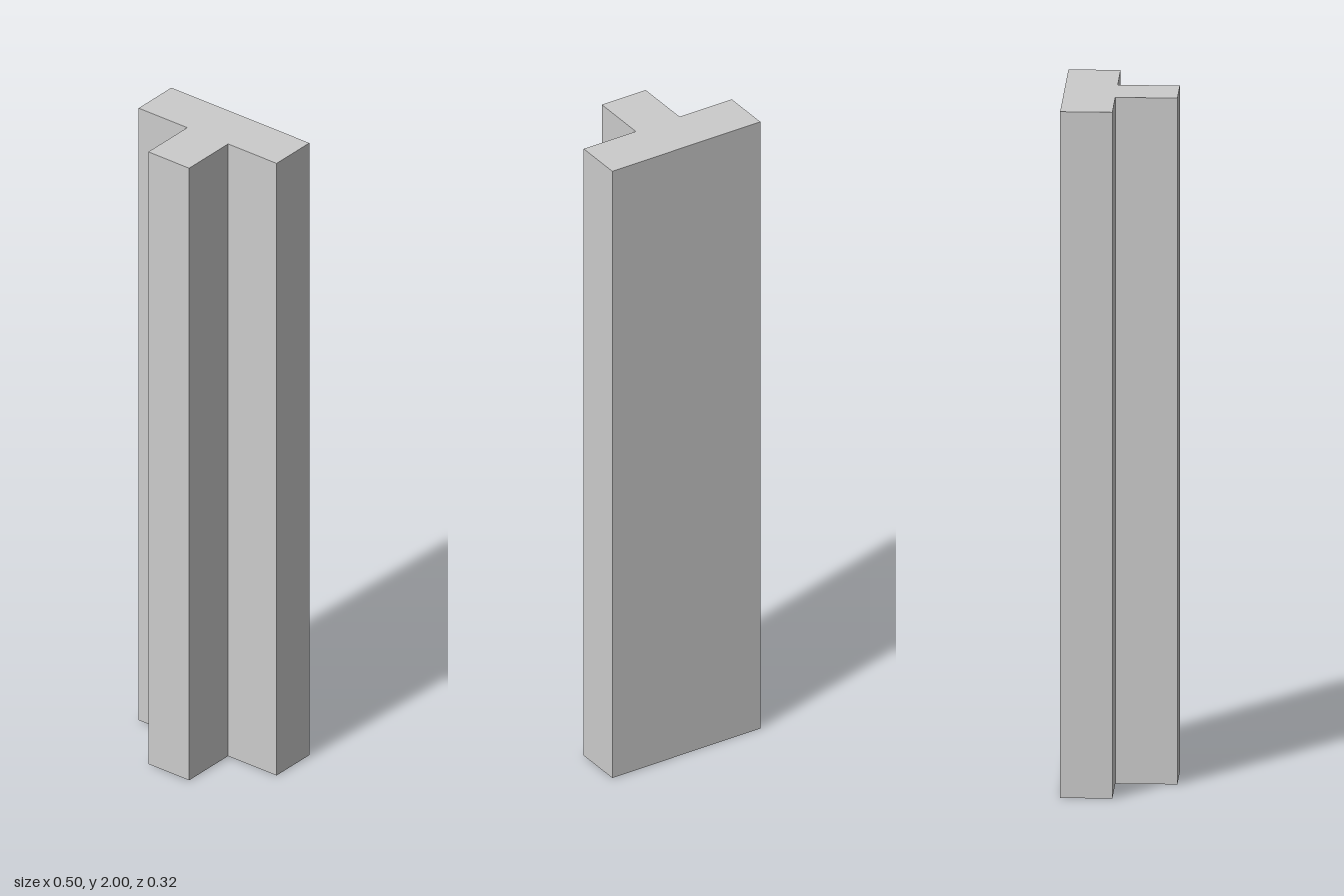
import * as THREE from 'three';

const HEIGHT = 2;
const HALF_FLANGE = 0.25, HALF_STEM = 0.074;
const BACK = -0.162, STEP = -0.014, FRONT = 0.162;

// T-shaped plan as [x, z], running counter-clockwise seen from above
const outline = [
  [-HALF_FLANGE, BACK], [-HALF_FLANGE, STEP], [-HALF_STEM, STEP], [-HALF_STEM, FRONT],
  [HALF_STEM, FRONT], [HALF_STEM, STEP], [HALF_FLANGE, STEP], [HALF_FLANGE, BACK],
];

// One flat quad per outline edge, facing outwards
function wallGeometry() {
  const positions = [];
  outline.forEach(([ax, az], i) => {
    const [bx, bz] = outline[(i + 1) % outline.length];
    positions.push(ax, 0, az, bx, 0, bz, bx, HEIGHT, bz);
    positions.push(ax, 0, az, bx, HEIGHT, bz, ax, HEIGHT, az);
  });
  const geometry = new THREE.BufferGeometry();
  geometry.setAttribute('position', new THREE.Float32BufferAttribute(positions, 3));
  geometry.computeVertexNormals();
  return geometry;
}

export function createModel() {
  const group = new THREE.Group();
  group.name = 'teeColumn';
  const material = new THREE.MeshStandardMaterial({ color: 0xcccccc, side: THREE.DoubleSide });

  // Hollow shaft, open at the bottom
  const walls = new THREE.Mesh(wallGeometry(), material);
  walls.name = 'columnWalls';

  // Closed top
  const shape = new THREE.Shape(outline.map(([x, z]) => new THREE.Vector2(x, -z)));
  const cap = new THREE.Mesh(new THREE.ShapeGeometry(shape).rotateX(-Math.PI / 2), material);
  cap.name = 'topCap';
  cap.position.y = HEIGHT;

  group.add(walls, cap);
  return group;
}
